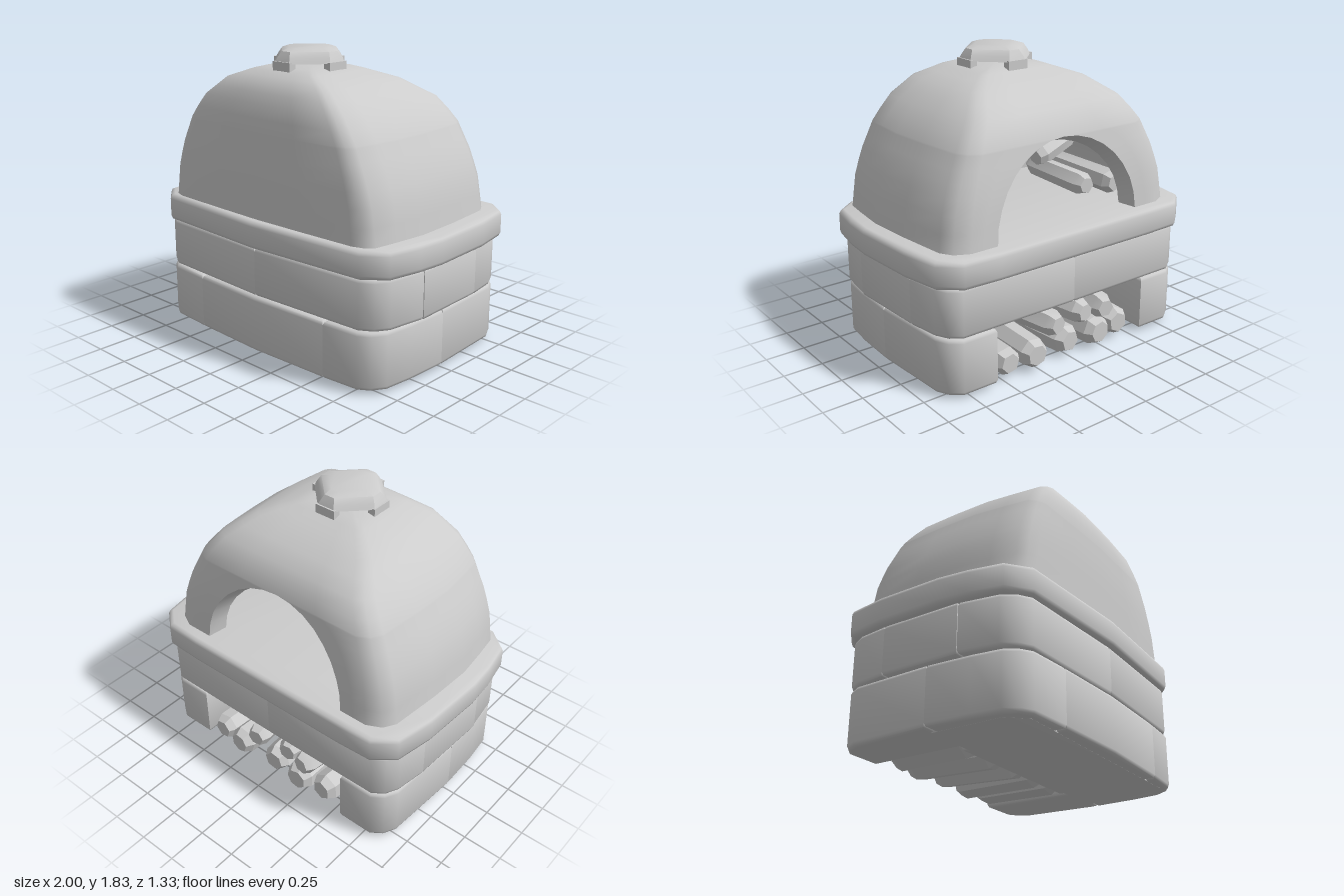
import * as THREE from 'three';
import { mergeVertices, toCreasedNormals } from 'three/addons/utils/BufferGeometryUtils.js';

const clay = new THREE.MeshStandardMaterial({ color: 0xcccccc });
clay.name = 'pale grey clay';

function part(parent, name, geometry, crease = 0.7) {
  const mesh = new THREE.Mesh(toCreasedNormals(geometry, crease), clay);
  mesh.name = name;
  parent.add(mesh);
  return mesh;
}

// Stone with a plan outline of [x, z] points, standing between two heights
function block(parent, name, plan, y0, y1, bevel = 0.025) {
  const shape = new THREE.Shape(plan.map(([x, z]) => new THREE.Vector2(x, -z)));
  const geo = new THREE.ExtrudeGeometry(shape, {
    depth: y1 - y0 - 2 * bevel, bevelThickness: bevel, bevelSize: bevel,
    bevelOffset: -bevel, bevelSegments: 2,
  });
  geo.rotateX(-Math.PI / 2).translate(0, y0 + bevel, 0);
  return part(parent, name, geo, 0.9);
}
const mirror = (plan) => plan.map(([x, z]) => [-x, z]);
function blockPair(parent, name, plan, y0, y1) {
  block(parent, name + 'Left', plan, y0, y1);
  block(parent, name + 'Right', mirror(plan), y0, y1);
}

// Skin over closed rings of equal length
function loft(rings, capTop) {
  const n = rings[0].length, index = [];
  for (let j = 0; j < rings.length - 1; j++) {
    for (let i = 0; i < n; i++) {
      const a = j * n + i, d = j * n + (i + 1) % n;
      index.push(a, a + n, d, a + n, d + n, d);
    }
  }
  if (capTop) {
    const top = (rings.length - 1) * n;
    for (let i = 1; i < n - 1; i++) {
      index.push(top, top + i + 1, top + i);
      index.push(0, i, i + 1);
    }
  }
  const geo = new THREE.BufferGeometry();
  geo.setAttribute('position', new THREE.Float32BufferAttribute(rings.flat(2), 3));
  geo.setIndex(index);
  return mergeVertices(geo, 1e-5);
}

// Dome profile: height, half width, front z, back z
const profile = [
  [0.85, 0.89, 0.61, -0.575], [1.05, 0.86, 0.607, -0.56], [1.2, 0.81, 0.603, -0.54],
  [1.4, 0.71, 0.588, -0.5], [1.53, 0.6, 0.56, -0.42], [1.64, 0.45, 0.5, -0.24],
  [1.7, 0.28, 0.41, -0.08], [1.72, 0.2, 0.35, -0.02], [1.725, 0.03, 0.19, 0.13],
];
function sample(y) {
  let k = 1;
  while (k < profile.length - 1 && profile[k][0] < y) k++;
  const p = profile[k - 1], q = profile[k];
  const t = Math.min(1, (y - p[0]) / (q[0] - p[0]));
  return p.map((v, i) => v + (q[i] - v) * t);
}

// Horizontal rounded section, left open by half width a at the back
function section(y, hx, zf, zb, a) {
  const c = 0.16, f = zf - c, b = zb - c;
  const half = [
    [a, zb], [(a + 0.8 * hx) / 2, zb], [0.8 * hx, zb], [0.9 * hx, c + 0.94 * b],
    [0.95 * hx, c + 0.84 * b], [0.985 * hx, c + 0.4 * b], [hx, c],
    [0.975 * hx, c + 0.45 * f], [0.95 * hx, c + 0.8 * f], [0.895 * hx, c + 0.9 * f],
    [0.82 * hx, c + 0.95 * f], [0.4 * hx, c + 0.98 * f], [0, zf],
  ];
  const other = mirror(half.slice(0, -1)).reverse();
  return [...half, ...other].map(([x, z]) => [x, y, z]);
}

function domeGeometry() {
  const rise = 0.53, levels = [];
  for (let k = 0; k <= 8; k++) {
    const t = k / 8 * Math.PI / 2;
    levels.push([0.85 + rise * Math.sin(t), k === 8 ? 0 : 0.53 * Math.cos(t)]);
  }
  for (const y of [1.45, 1.53, 1.59, 1.64, 1.675, 1.7, 1.72, 1.725]) levels.push([y, 0]);
  // Each ring runs round the outer wall and back along the inner wall
  return loft(levels.map(([y, a]) => {
    const [, hx, zf, zb] = sample(y);
    const w = Math.min(0.13, hx * 0.5);
    const inner = section(0.85 + (y - 0.85) * 0.9, hx - w, zf - w * 0.8, zb + w, a * 0.97);
    return [...section(y, hx, zf, zb, a), ...inner.reverse()];
  }), false);
}

// Rough split log with chamfered ends between two points
function log(parent, from, to, r, sides, spin) {
  const a = new THREE.Vector3(...from), b = new THREE.Vector3(...to);
  const dir = b.clone().sub(a), len = dir.length();
  const pts = [[0, 0], [0.7 * r, 0], [r, 0.05], [r * 0.94, len - 0.05], [0.65 * r, len], [0, len]];
  const geo = new THREE.LatheGeometry(pts.map(([x, y]) => new THREE.Vector2(x, y)), sides);
  geo.rotateY(spin);
  const mesh = part(parent, 'log', geo, 0.4);
  mesh.position.copy(a);
  mesh.quaternion.setFromUnitVectors(new THREE.Vector3(0, 1, 0), dir.normalize());
}

export function createModel() {
  const oven = new THREE.Group();
  oven.name = 'oven';

  // Lower course, open at the back for the wood store
  const lower = new THREE.Group();
  lower.name = 'lowerCourse';
  oven.add(lower);
  block(lower, 'frontStone', [[-0.51, -0.05], [0.55, -0.05], [0.55, 0.625], [0, 0.645], [-0.51, 0.625]], 0.02, 0.375);
  const corner = (x) => [[x, 0.02], [0.94, 0.02], [0.93, 0.3], [0.91, 0.48], [0.86, 0.56], [0.79, 0.605], [x, 0.625]];
  block(lower, 'frontCornerLeft', corner(0.55), 0.02, 0.375);
  block(lower, 'frontCornerRight', mirror(corner(0.51)), 0.02, 0.375);
  blockPair(lower, 'backCorner', [[0.57, -0.62], [0.8, -0.62], [0.87, -0.57], [0.91, -0.49], [0.94, 0.02], [0.57, 0.02]], 0.02, 0.375);
  block(lower, 'base', [[-0.85, 0], [0.85, 0], [0.85, 0.45], [0.75, 0.56], [-0.75, 0.56], [-0.85, 0.45]], 0.019, 0.3, 0.001);

  // Upper course
  const upper = new THREE.Group();
  upper.name = 'upperCourse';
  oven.add(upper);
  blockPair(upper, 'frontStone', [[0, 0.23], [0.955, 0.23], [0.92, 0.47], [0.87, 0.55], [0.79, 0.6], [0, 0.635]], 0.375, 0.685);
  blockPair(upper, 'sideStone', [[0, -0.29], [0.94, -0.29], [0.96, 0.23], [0, 0.23]], 0.375, 0.685);
  blockPair(upper, 'backStone', [[0, -0.625], [0.8, -0.62], [0.87, -0.57], [0.91, -0.49], [0.94, -0.29], [0, -0.29]], 0.375, 0.685);

  // Worktop slab
  const slab = [[0, 0.665], [0.81, 0.62], [0.945, 0.51], [0.985, 0.3], [1, 0.12], [0.98, -0.3], [0.935, -0.55], [0.81, -0.655], [0.57, -0.665]];
  block(oven, 'worktop', [...slab, ...mirror(slab.slice(1)).reverse()], 0.68, 0.852, 0.03);

  // Hollow dome with an arched mouth
  part(oven, 'dome', domeGeometry(), 0.75);

  // Vent cap on four feet
  const cap = new THREE.Group();
  cap.name = 'ventCap';
  cap.position.z = 0.16;
  oven.add(cap);
  const ring = (y, r, w) => [[w, -r], [r, -w], [r, w], [w, r], [-w, r], [-r, w], [-r, -w], [-w, -r]].map(([x, z]) => [x, y, z]);
  part(cap, 'lid', loft([ring(1.75, 0.228, 0.06), ring(1.78, 0.215, 0.05), ring(1.815, 0.195, 0.035), ring(1.832, 0.14, 0.03)], true), 0.6);
  for (let k = 0; k < 4; k++) {
    const foot = part(cap, 'foot', new THREE.BoxGeometry(0.14, 0.06, 0.05).translate(0, 1.728, 0.21));
    foot.rotation.y = k * Math.PI / 2;
  }

  // Firewood stacked in the store
  const store = new THREE.Group();
  store.name = 'firewood';
  oven.add(store);
  const stack = [
    [-0.44, 0.1, -0.4, 0.1, 6], [-0.2, 0.1, -0.22, 0.105, 7], [0.04, 0.095, 0, 0.1, 6],
    [0.25, 0.1, 0.28, 0.1, 7], [0.44, 0.095, 0.46, 0.095, 6],
    [-0.33, 0.25, -0.26, 0.085, 6], [-0.04, 0.25, -0.12, 0.085, 7], [0.2, 0.25, 0.12, 0.085, 6],
  ];
  stack.forEach(([x0, y, x1, r, sides], i) => {
    log(store, [x0, y, -0.01], [x1, y + 0.01, -0.6 - 0.03 * (i % 2)], r, sides, i * 0.7);
  });

  // Logs burning to one side inside the dome
  const fire = new THREE.Group();
  fire.name = 'fireLogs';
  oven.add(fire);
  log(fire, [-0.6, 0.93, -0.32], [-0.62, 0.93, 0.3], 0.08, 6, 0.2);
  log(fire, [-0.42, 0.93, -0.25], [-0.45, 0.93, 0.35], 0.075, 6, 0.6);
  log(fire, [-0.36, 1.02, 0.2], [-0.7, 1.12, 0.25], 0.08, 7, 0.4);
  return oven;
}
